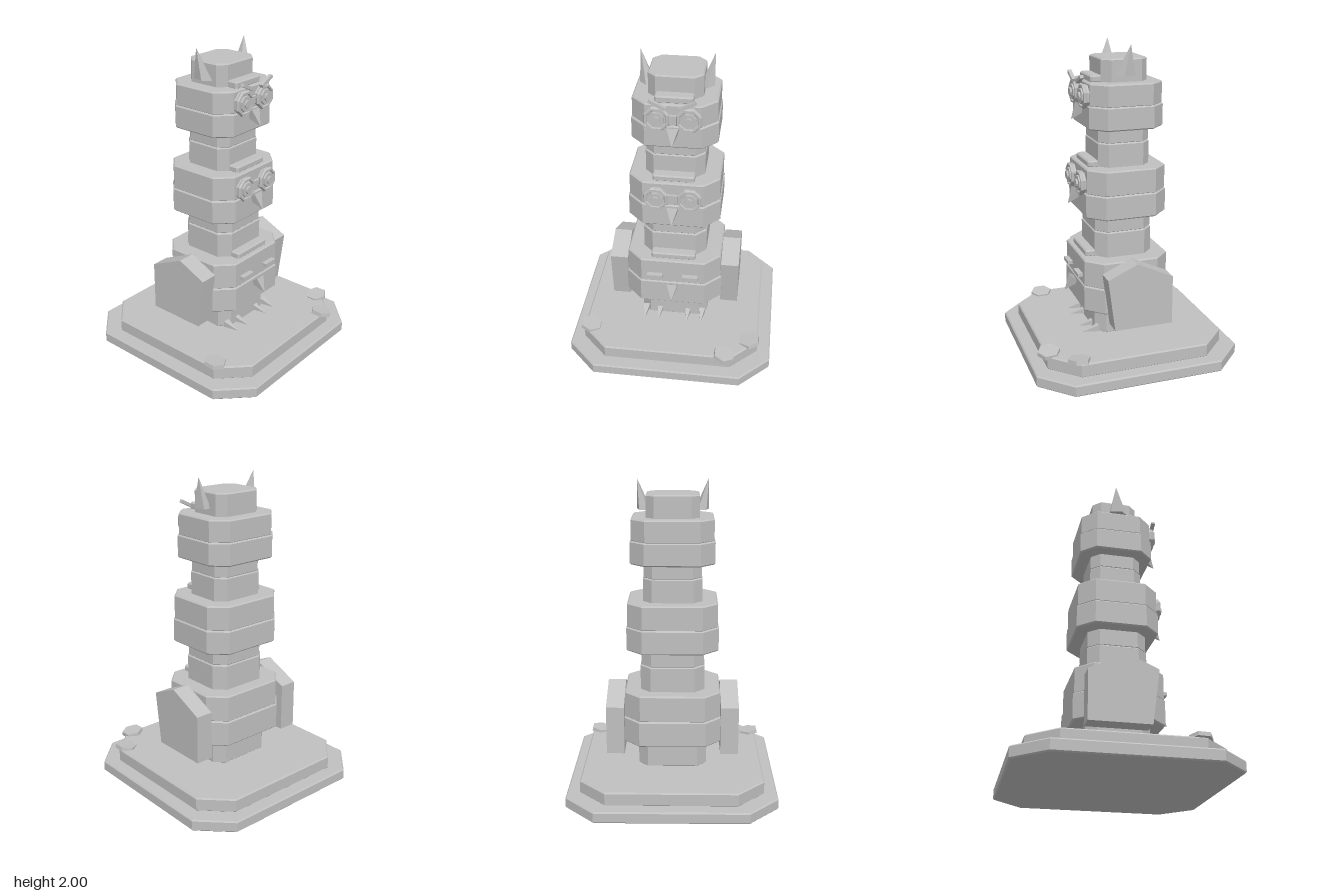
import * as THREE from 'three';

const stone = new THREE.MeshStandardMaterial({ color: 0xc0c0c0 });
stone.name = 'grey stone';

export function createModel() {
  const model = new THREE.Group();
  model.name = 'totemPole';

  const add = (name, geometry, x = 0, y = 0, z = 0, parent = model) => {
    const flat = geometry.index ? geometry.toNonIndexed() : geometry;
    flat.computeVertexNormals();
    const mesh = new THREE.Mesh(flat, stone);
    mesh.name = name;
    mesh.position.set(x, y, z);
    parent.add(mesh);
    return mesh;
  };

  // Block with cut corners and a small bevel, spanning y0..y1 and zBack..zFront
  const block = (name, halfX, zBack, zFront, y0, y1, cut, b = 0.008) => {
    const hz = (zFront - zBack) / 2, hx = halfX;
    const shape = new THREE.Shape([
      [hx - cut, -hz], [hx, -hz + cut], [hx, hz - cut], [hx - cut, hz],
      [cut - hx, hz], [-hx, hz - cut], [-hx, cut - hz], [cut - hx, -hz],
    ].map(([x, y]) => new THREE.Vector2(x, y)));
    const g = new THREE.ExtrudeGeometry(shape, {
      depth: y1 - y0 - 2 * b, bevelThickness: b, bevelSize: b, bevelOffset: -b, bevelSegments: 1,
    });
    g.translate(0, 0, b).rotateX(-Math.PI / 2);
    add(name, g, 0, y0, (zFront + zBack) / 2);
  };

  // Stepped base
  block('lowerBase', 0.665, -0.665, 0.665, 0, 0.075, 0.19);
  block('upperBase', 0.58, -0.58, 0.58, 0.07, 0.16, 0.17);

  // Stacked pole: necks, two-tier bodies and head cap
  block('foot', 0.22, -0.2, 0.197, 0.155, 0.34, 0.06);
  block('lowerBodyBottom', 0.315, -0.285, 0.28, 0.33, 0.5, 0.105);
  block('lowerBodyTop', 0.305, -0.277, 0.275, 0.495, 0.67, 0.1);
  block('lowerNeckBottom', 0.205, -0.19, 0.187, 0.66, 0.835, 0.065);
  block('lowerNeckTop', 0.2, -0.187, 0.183, 0.83, 0.95, 0.065);
  block('middleBodyBottom', 0.29, -0.268, 0.255, 0.94, 1.095, 0.1);
  block('middleBodyTop', 0.283, -0.262, 0.247, 1.09, 1.25, 0.095);
  block('upperNeckBottom', 0.185, -0.175, 0.158, 1.24, 1.4, 0.055);
  block('upperNeckTop', 0.18, -0.172, 0.155, 1.395, 1.5, 0.055);
  block('upperBodyBottom', 0.262, -0.25, 0.225, 1.49, 1.635, 0.09);
  block('upperBodyTop', 0.255, -0.244, 0.218, 1.63, 1.77, 0.088);
  block('headCap', 0.165, -0.163, 0.132, 1.76, 1.91, 0.05);

  // Ledges above each face
  block('lowerLedge', 0.143, 0.165, 0.247, 0.665, 0.708, 0.012);
  block('middleLedge', 0.13, 0.14, 0.222, 1.245, 1.287, 0.012);
  block('upperLedge', 0.115, 0.115, 0.197, 1.765, 1.81, 0.012);

  // Beaks: square cones tipped forward and down
  const beak = (name, y, z) => {
    const g = new THREE.ConeGeometry(0.05, 0.105, 4, 1);
    g.rotateY(Math.PI / 4).translate(0, -0.0525, 0).rotateX(Math.PI - 0.68);
    // keep the tip pointing downward and forward from the given point
    g.computeBoundingBox();
    const b = g.boundingBox;
    g.translate(0, -b.min.y, -b.max.z);
    add(name, g, 0, y, z);
  };
  beak('lowerBeak', 0.4, 0.35);
  beak('middleBeak', 0.99, 0.32);
  beak('upperBeak', 1.53, 0.29);

  // Eight-sided eyes with a raised rim, iris and pupil
  const disc = (r, depth, sides = 8) =>
    new THREE.CylinderGeometry(r, r, depth, sides).rotateY(Math.PI / sides).rotateX(Math.PI / 2);
  const eye = (name, x, y, z) => {
    const g = new THREE.Group();
    g.name = name;
    g.position.set(x, y, z);
    add('eyeDisc', disc(0.074, 0.035), 0, 0, 0.01, g);
    add('eyeRim', new THREE.TorusGeometry(0.068, 0.013, 6, 8).rotateZ(Math.PI / 8), 0, 0, 0.025, g);
    add('iris', disc(0.049, 0.02), 0, 0, 0.032, g);
    add('pupil', disc(0.026, 0.02, 10), 0, 0, 0.044, g);
    model.add(g);
  };

  for (const s of [-1, 1]) {
    const side = s > 0 ? 'left' : 'right';
    eye(side + 'UpperEye', s * 0.095, 1.687, 0.218);
    eye(side + 'MiddleEye', s * 0.104, 1.15, 0.245);
    add(side + 'SleepyEye', new THREE.BoxGeometry(0.1, 0.022, 0.04), s * 0.115, 0.557, 0.288);

    // Slanted brow
    add(side + 'Brow', new THREE.BoxGeometry(0.105, 0.02, 0.024), s * 0.088, 1.787, 0.257)
      .rotation.z = s * 0.45;

    // Ear: cone with its tip pulled outward
    const ear = new THREE.ConeGeometry(1, 0.19, 5, 1).scale(0.045, 1, 0.066).translate(0, 0.095, 0);
    const p = ear.attributes.position;
    for (let i = 0; i < p.count; i++) {
      const t = p.getY(i) / 0.19;
      p.setX(i, p.getX(i) + s * 0.04 * t);
      p.setZ(i, p.getZ(i) - 0.02 * t);
    }
    add(side + 'Ear', ear, s * 0.18, 1.81, -0.003);

    // Folded wing slab
    const wing = new THREE.Shape([
      [-0.19, 0.605], [0, 0.69], [0.235, 0.58], [0.235, 0.265], [-0.145, 0.265],
    ].map(([x, y]) => new THREE.Vector2(x, y)));
    add(side + 'Wing', new THREE.ExtrudeGeometry(wing, { depth: 0.115, bevelEnabled: false })
      .translate(0, 0, -0.0575).rotateY(Math.PI / 2), s * 0.3655, 0, 0);

    // Claws
    for (const x of [0.095, 0.19]) {
      add(side + 'Claw', new THREE.ConeGeometry(0.03, 0.11, 4).rotateY(Math.PI / 4)
        .rotateX(Math.PI / 2 + 0.17), s * x, 0.182, 0.235);
    }
  }

  // Nose bridges joining each pair of eyes
  add('upperBridge', new THREE.BoxGeometry(0.06, 0.015, 0.03), 0, 1.7, 0.225);
  add('middleBridge', new THREE.BoxGeometry(0.07, 0.015, 0.03), 0, 1.165, 0.25);

  // Flat tilted stones on the base
  for (const [x, y, z, tx, tz] of [
    [-0.535, 0.165, 0.385, 0.03, -0.14],
    [0.525, 0.165, 0.41, -0.03, 0.16],
    [0.37, 0.167, 0.56, 0.04, -0.16],
  ]) {
    add('flatStone', new THREE.CylinderGeometry(0.07, 0.072, 0.026, 6), x, y, z).rotation.set(tx, 0, tz);
  }
  return model;
}
